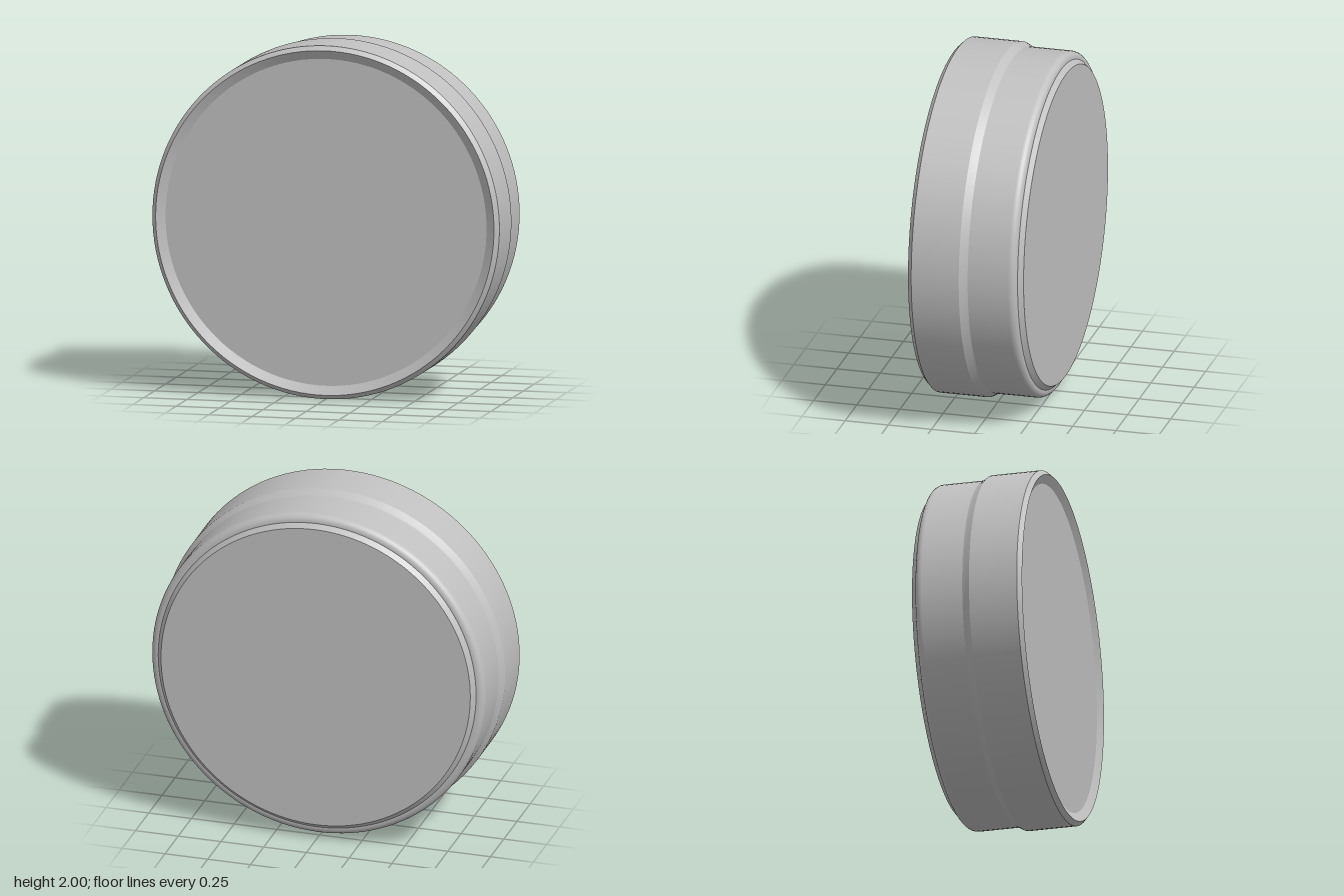
import * as THREE from 'three';

export function createModel() {
  const model = new THREE.Group();
  model.name = 'roundCap';
  const grey = new THREE.MeshStandardMaterial({ color: 0xc0c0c0 });
  grey.name = 'light grey';

  // Each band is turned about the z axis from [radius, z] points, back to front,
  // and is kept as its own mesh so the edges between bands stay sharp.
  const band = (name, points) => {
    const geometry = new THREE.LatheGeometry(points.map(([r, z]) => new THREE.Vector2(r, z)), 128);
    geometry.rotateX(Math.PI / 2);
    const mesh = new THREE.Mesh(geometry, grey);
    mesh.name = name;
    mesh.position.y = 1;
    model.add(mesh);
  };

  // Rounded shoulder of the narrower back drum
  const shoulder = [];
  for (let i = 0; i <= 8; i++) {
    const a = (i / 8) * Math.PI / 2;
    shoulder.push([0.935 + 0.04 * Math.sin(a), -0.257 - 0.04 * Math.cos(a)]);
  }

  // Back: flat face, raised chamfered lip and its ledge
  band('backFace', [[0, -0.325], [0.905, -0.325]]);
  band('backLipChamfer', [[0.905, -0.325], [0.93, -0.297]]);
  band('backLedge', [[0.93, -0.297], [0.935, -0.297]]);

  // Sides: rounded drum, sloped step, wide front drum
  band('backShoulder', shoulder);
  band('backDrum', [[0.975, -0.257], [0.975, -0.02]]);
  band('step', [[0.975, -0.02], [0.98, -0.008], [1, 0.025]]);
  band('frontDrum', [[1, 0.025], [1, 0.3]]);

  // Front: outer chamfer and shallow dished face
  band('frontChamfer', [[1, 0.3], [0.975, 0.325]]);
  band('dishSlope', [[0.975, 0.325], [0.925, 0.297]]);
  band('dishFloor', [[0.925, 0.297], [0, 0.297]]);

  return model;
}
